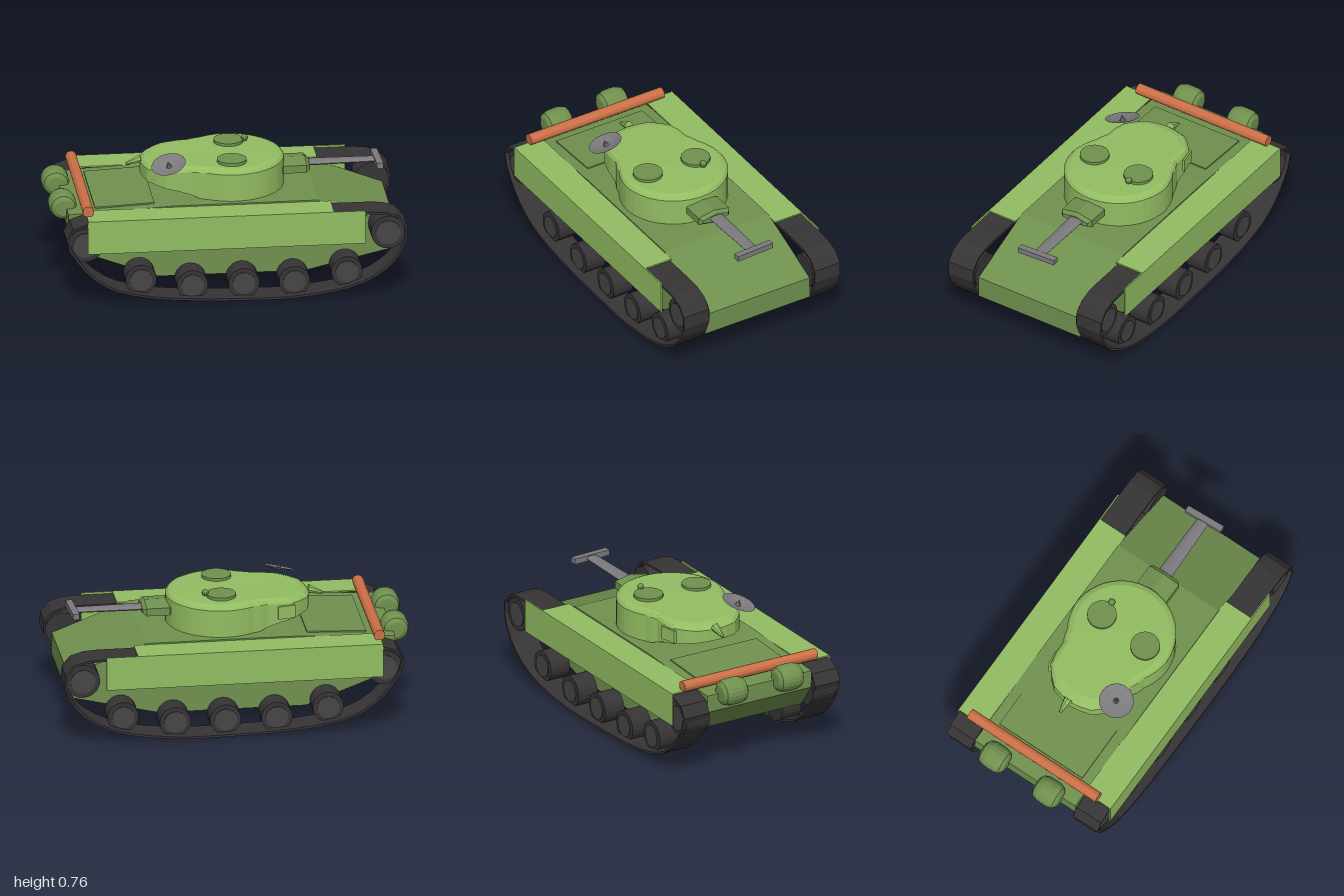
import * as THREE from 'three';

const mat = (color) => new THREE.MeshStandardMaterial({ color, flatShading: true, side: THREE.DoubleSide });

export function createModel() {
  const root = new THREE.Group();
  const light = mat(0x93bd62), olive = mat(0x70914f), dark = mat(0x373435);
  const hubMat = mat(0x474546), grey = mat(0x7c7a7c), wood = mat(0xcc7046);

  const add = (name, geo, material, x = 0, y = 0, z = 0, parent = root) => {
    const m = new THREE.Mesh(geo, material);
    m.name = name;
    m.position.set(x, y, z);
    parent.add(m);
    return m;
  };
  const box = (w, h, d) => new THREE.BoxGeometry(w, h, d);
  const cylY = (r, h, n = 20, r2 = r) => new THREE.CylinderGeometry(r, r2, h, n);
  const cylZ = (r, h, n = 20) => cylY(r, h, n).rotateX(Math.PI / 2);
  const V2 = (p) => new THREE.Vector2(p[0], p[1]);
  const prism = (shape, depth) =>
    new THREE.ExtrudeGeometry(shape, { depth, bevelEnabled: false }).translate(0, 0, -depth / 2);

  // hull: side profile extruded across the width
  const hullShape = new THREE.Shape([
    [-0.905, 0.5], [-0.905, 0.4], [-0.8, 0.26], [-0.4, 0.11], [0.43, 0.11],
    [0.94, 0.228], [0.94, 0.358], [0.5, 0.528], [-0.3, 0.528],
  ].map(V2));
  add('hull', prism(hullShape, 0.685), olive);
  add('engineHatch', box(0.335, 0.012, 0.565), olive, -0.582, 0.517, 0).rotation.z = 0.045;

  // track band: smooth closed loop with an inner loop offset along its normals
  const loop = new THREE.CatmullRomCurve3([
    [-0.935, 0.41], [-0.845, 0.235], [-0.685, 0.105], [-0.47, 0.045], [-0.22, 0.02], [0.07, 0.01],
    [0.36, 0.012], [0.7, 0.07], [0.89, 0.18], [0.985, 0.34], [0.975, 0.44], [0.91, 0.492],
    [0.6, 0.509], [0, 0.509], [-0.6, 0.509], [-0.82, 0.5], [-0.905, 0.47],
  ].map(([x, y]) => new THREE.Vector3(x, y, 0)), true);
  const outer = [], inner = [];
  const N = 56;
  for (let i = 0; i < N; i++) {
    const p = loop.getPointAt(i / N), t = loop.getTangentAt(i / N);
    outer.push(new THREE.Vector2(p.x, p.y));
    inner.push(new THREE.Vector2(p.x - t.y * 0.013, p.y + t.x * 0.013));
  }
  const band = new THREE.Shape(outer);
  band.holes.push(new THREE.Path(inner));

  // running gear and fenders on both sides
  for (const s of [1, -1]) {
    const side = new THREE.Group();
    side.name = s > 0 ? 'runningGearPlusZ' : 'runningGearMinusZ';
    root.add(side);
    add('track', prism(band, 0.165), dark, 0, 0, s * 0.431, side);
    const wheel = (name, x, y, r, depth) => {
      add(name, cylZ(r, depth), dark, x, y, s * (0.34 + depth / 2), side);
      add(name + 'Hub', cylZ(r * 0.72, 0.008), hubMat, x, y, s * (0.342 + depth), side);
    };
    for (const [x, y] of [[-0.51, 0.14], [-0.22, 0.095], [0.07, 0.095], [0.355, 0.095], [0.65, 0.14]])
      wheel('roadWheel', x, y, 0.088, 0.125);
    wheel('driveWheel', 0.88, 0.375, 0.097, 0.15);
    wheel('idlerWheel', -0.825, 0.37, 0.1, 0.15);
    for (const x of [-0.3, 0.15]) wheel('returnRoller', x, 0.42, 0.055, 0.1);
    add('fenderTop', box(1.385, 0.008, 0.177), light, -0.12, 0.516, s * 0.429, side);
    add('sideSkirt', box(1.565, 0.195, 0.008), light, -0.033, 0.4225, s * 0.515, side);
  }

  // turret: lathe whose radius follows a round body with a rear overhang
  const turret = new THREE.Group();
  turret.name = 'turret';
  root.add(turret);
  const cx = 0.035;
  const radii = [0.31, 0.31, 0.31, 0.31, 0.31, 0.31, 0.31, 0.305, 0.303, 0.33, 0.435, 0.49, 0.5];
  const body = new THREE.LatheGeometry(
    [[0, 0.528], [1, 0.528], [1, 0.685], [0.96, 0.702], [0.88, 0.712], [0, 0.715]].map(V2), 48);
  const pos = body.attributes.position;
  for (let i = 0; i < pos.count; i++) {
    const px = pos.getX(i), pz = pos.getZ(i);
    const a = Math.abs(Math.atan2(pz, px)) / (Math.PI / 12);
    const k = Math.min(11, Math.floor(a));
    const r = radii[k] + (radii[k + 1] - radii[k]) * (a - k);
    const x = cx + px * r;
    let y = pos.getY(i);
    if (y < 0.6) y += 0.04 * THREE.MathUtils.clamp((-0.15 - x) / 0.11, 0, 1) + Math.max(0, -0.26 - x) * 0.18;
    else y -= Math.max(0, -0.15 - x) * 0.04;
    pos.setXYZ(i, x, y, pz * r);
  }
  add('turretBody', body, light, 0, 0, 0, turret);
  add('turretRing', cylY(0.292, 0.07, 32), light, cx, 0.54, 0, turret);
  add('hatch', cylY(0.083, 0.022, 24), olive, 0.05, 0.719, -0.14, turret);
  add('hatch', cylY(0.083, 0.022, 24), olive, 0.035, 0.719, 0.165, turret);
  add('periscope', new THREE.SphereGeometry(0.02, 10, 8), olive, 0.14, 0.735, -0.135, turret);
  add('visionBox', box(0.1, 0.075, 0.04), light, -0.305, 0.63, -0.215, turret).rotation.y = 0.2;
  const spike = add('rearCone', cylY(0.008, 0.09, 8, 0.026), light, -0.5, 0.668, -0.015, turret);
  spike.rotation.z = 1.9;

  // shallow dish leaning on the turret edge
  const dish = new THREE.Group();
  dish.name = 'dish';
  dish.position.set(-0.325, 0.72, 0.218);
  dish.quaternion.setFromUnitVectors(new THREE.Vector3(0, 1, 0), new THREE.Vector3(-0.22, 0.93, 0.27).normalize());
  turret.add(dish);
  add('dishPlate', new THREE.LatheGeometry([[0, -0.008], [0.05, 0], [0.098, 0.012]].map(V2), 20), grey, 0, 0, 0, dish);
  add('dishSpike', new THREE.ConeGeometry(0.018, 0.04, 8), grey, 0, 0.012, 0, dish);

  // gun mantlet, flattened barrel and wide muzzle
  const lens = new THREE.Shape([[-0.1, -0.022], [0, -0.042], [0.1, -0.022], [0.1, 0.022], [0, 0.042], [-0.1, 0.022]].map(V2));
  const mantlet = new THREE.ExtrudeGeometry(lens, {
    depth: 0.13, bevelThickness: 0.02, bevelSize: 0.016, bevelOffset: -0.016, bevelSegments: 1,
  }).rotateY(Math.PI / 2);
  add('mantlet', mantlet, olive, 0.335, 0.62, -0.004, turret);
  const barrel = cylY(0.035, 0.42, 14, 0.043).rotateZ(-Math.PI / 2).scale(1, 0.36, 1);
  add('gunBarrel', barrel, grey, 0.68, 0.623, -0.012, turret).rotation.y = 0.01;
  add('muzzle', box(0.038, 0.033, 0.235), grey, 0.873, 0.624, -0.013, turret).rotation.y = 0.05;

  // rear stowage: log and two rounded drums
  add('log', cylZ(0.032, 0.875, 12), wood, -0.803, 0.545, -0.008);
  const drum = new THREE.LatheGeometry(
    [[0, -0.081], [0.045, -0.08], [0.067, -0.066], [0.077, -0.035], [0.078, 0],
      [0.077, 0.035], [0.067, 0.066], [0.045, 0.08], [0, 0.081]].map(V2), 20).rotateX(Math.PI / 2);
  for (const z of [-0.192, 0.173]) add('fuelDrum', drum, olive, -0.922, 0.505, z);

  return root;
}
